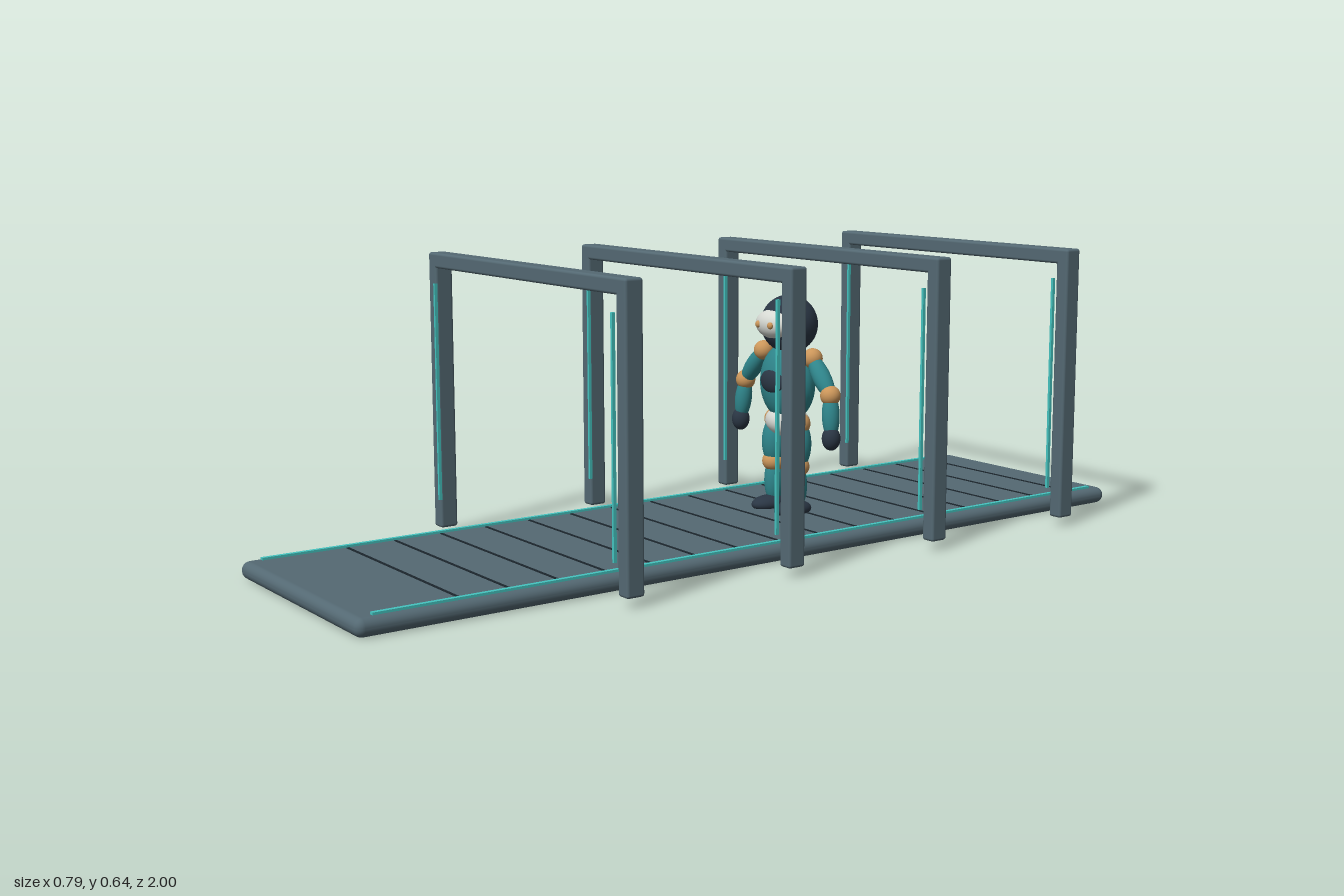
import * as THREE from 'three';
import { RoundedBoxGeometry } from 'three/addons/geometries/RoundedBoxGeometry.js';

const material = (name, color) => new THREE.MeshStandardMaterial({ name, color });

export function createModel() {
  const slate = material('slate', 0x546973);
  const groove = material('groove', 0x1c262d);
  const glow = material('glowStrip', 0x45c4c0);
  const teal = material('teal', 0x2f868c);
  const dark = material('darkNavy', 0x2a3644);
  const orange = material('orange', 0xcb965a);
  const white = material('offWhite', 0xd6d9d3);

  const model = new THREE.Group();
  model.name = 'robotWalkway';

  function add(parent, name, geometry, mat, x, y, z) {
    const mesh = new THREE.Mesh(geometry, mat);
    mesh.name = name;
    mesh.position.set(x, y, z);
    parent.add(mesh);
    return mesh;
  }
  const box = (w, h, d) => new THREE.BoxGeometry(w, h, d);
  const rounded = (w, h, d, r) => new RoundedBoxGeometry(w, h, d, 3, r);
  const ellipsoid = (rx, ry, rz) => new THREE.SphereGeometry(1, 32, 20).scale(rx, ry, rz);

  // Ellipsoid limb segment stretched between two joints
  function limb(parent, name, from, to, radius, overlap) {
    const a = new THREE.Vector3(...from), b = new THREE.Vector3(...to);
    const dir = b.clone().sub(a);
    const mid = a.clone().add(b).multiplyScalar(0.5);
    const mesh = add(parent, name, ellipsoid(radius, dir.length() / 2 + overlap, radius), teal, mid.x, mid.y, mid.z);
    mesh.quaternion.setFromUnitVectors(new THREE.Vector3(0, 1, 0), dir.normalize());
  }

  // Walkway deck with cross grooves and edge strips
  const walkway = new THREE.Group();
  walkway.name = 'walkway';
  model.add(walkway);
  add(walkway, 'deck', rounded(0.554, 0.038, 2, 0.018), slate, 0, 0.019, 0);
  for (let i = 0; i < 16; i++) {
    add(walkway, 'deckGroove', box(0.49, 0.003, 0.006), groove, 0, 0.038, -0.893 + i * 0.111);
  }
  for (const s of [-1, 1]) {
    add(walkway, 'edgeStrip', box(0.01, 0.008, 1.92), glow, s * 0.255, 0.039, 0);
  }

  // Four gantry frames with a light strip beside each post
  for (const z of [-0.733, -0.333, 0.067, 0.467]) {
    const frame = new THREE.Group();
    frame.name = 'gantryFrame';
    frame.position.z = z;
    model.add(frame);
    add(frame, 'beam', rounded(0.79, 0.034, 0.042, 0.006), slate, 0, 0.625, 0);
    for (const s of [-1, 1]) {
      add(frame, 'post', rounded(0.034, 0.602, 0.042, 0.006), slate, s * 0.378, 0.321, 0);
      add(frame, 'lightStrip', box(0.006, 0.488, 0.007), glow, s * 0.357, 0.331, 0.025);
    }
  }

  // Robot standing on the deck
  const robot = new THREE.Group();
  robot.name = 'robot';
  robot.position.z = -0.22;
  model.add(robot);
  add(robot, 'head', ellipsoid(0.07, 0.067, 0.063), dark, 0, 0.47, -0.004);
  add(robot, 'facePlate', ellipsoid(0.056, 0.034, 0.033), white, 0, 0.472, 0.039);
  add(robot, 'torso', ellipsoid(0.079, 0.091, 0.052), teal, 0, 0.335, 0);
  add(robot, 'chestPanel', ellipsoid(0.042, 0.029, 0.016), dark, 0, 0.34, 0.042);
  add(robot, 'pelvis', ellipsoid(0.063, 0.036, 0.044), white, 0, 0.244, -0.001);

  for (const s of [-1, 1]) {
    add(robot, 'eye', ellipsoid(0.008, 0.008, 0.006), orange, s * 0.022, 0.472, 0.069);

    // Arm
    add(robot, 'shoulder', ellipsoid(0.023, 0.023, 0.023), orange, s * 0.09, 0.4, 0);
    limb(robot, 'upperArm', [s * 0.09, 0.4, 0], [s * 0.156, 0.323, 0.002], 0.021, 0.01);
    add(robot, 'elbow', ellipsoid(0.023, 0.023, 0.023), orange, s * 0.156, 0.323, 0.002);
    limb(robot, 'forearm', [s * 0.156, 0.323, 0.002], [s * 0.166, 0.235, 0.007], 0.02, 0.008);
    add(robot, 'hand', ellipsoid(0.021, 0.027, 0.021), dark, s * 0.167, 0.228, 0.008);

    // Leg
    add(robot, 'hip', ellipsoid(0.027, 0.026, 0.026), orange, s * 0.043, 0.244, 0);
    limb(robot, 'thigh', [s * 0.041, 0.245, 0], [s * 0.043, 0.145, 0.004], 0.031, 0.01);
    add(robot, 'knee', ellipsoid(0.028, 0.025, 0.028), orange, s * 0.043, 0.145, 0.004);
    limb(robot, 'shin', [s * 0.043, 0.145, 0.004], [s * 0.043, 0.055, 0.004], 0.023, 0.01);
    add(robot, 'foot', ellipsoid(0.03, 0.02, 0.05), dark, s * 0.042, 0.046, 0.016);
  }
  return model;
}
